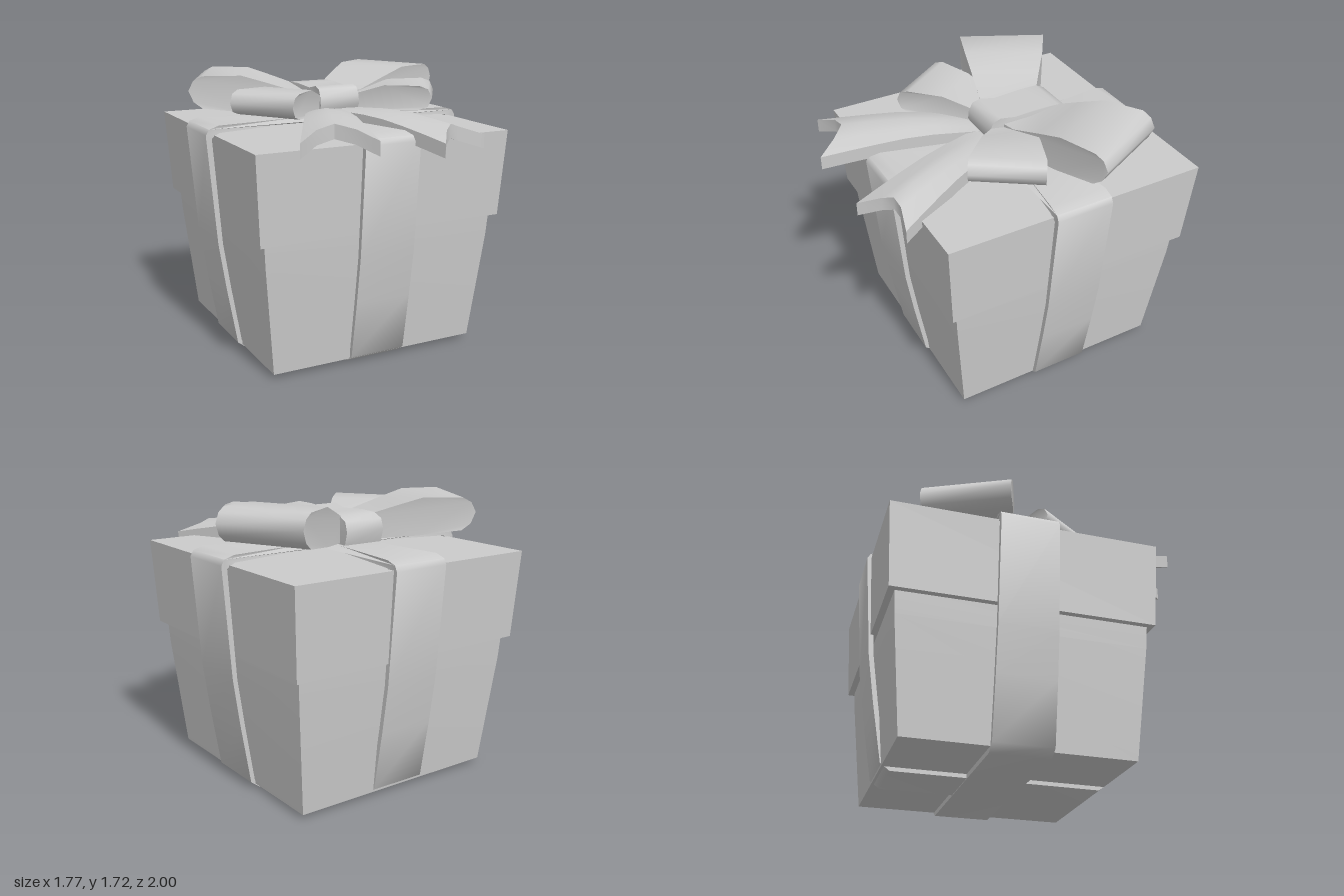
import * as THREE from 'three';
import { toCreasedNormals } from 'three/addons/utils/BufferGeometryUtils.js';

const MID_Z = -0.145; // the box sits slightly behind the bow tails

const makeMaterial = () => new THREE.MeshStandardMaterial({ color: 0xcccccc, side: THREE.DoubleSide });

function addMesh(parent, name, geometry, crease = 0.9) {
  const mesh = new THREE.Mesh(toCreasedNormals(geometry, crease), makeMaterial());
  mesh.name = name;
  parent.add(mesh);
  return mesh;
}

const toShape = (pts) => new THREE.Shape(pts.map(([x, y]) => new THREE.Vector2(x, y)));
const mirrored = (half) => [...half, ...half.slice().reverse().filter((p) => p[0] > 0).map(([x, y]) => [-x, y])];

// Extrudes a side profile across a width that varies along the profile
function ribbonGeometry(shape, halfWidth) {
  const geo = new THREE.ExtrudeGeometry(shape, { depth: 1, bevelEnabled: false });
  const p = geo.attributes.position;
  for (let i = 0; i < p.count; i++) {
    p.setZ(i, (p.getZ(i) * 2 - 1) * halfWidth(p.getX(i), p.getY(i)));
  }
  return geo;
}

// Closed band around the box, narrowing towards the knot on top
function bandGeometry() {
  const outer = mirrored([[0, 0], [0.66, 0], [0.72, 0.045], [0.785, 0.42], [0.83, 0.72],
    [0.885, 1.4], [0.865, 1.435], [0.8, 1.455], [0.3, 1.455], [0, 1.455]]);
  const inner = mirrored([[0, 0.035], [0.66, 0.035], [0.695, 0.06], [0.755, 0.42], [0.8, 0.72],
    [0.848, 1.38], [0.8, 1.41], [0.3, 1.42], [0, 1.42]]);
  const shape = toShape(outer);
  shape.holes.push(toShape(inner));
  return ribbonGeometry(shape, (x, y) => (y < 1.403 ? 0.182
    : THREE.MathUtils.mapLinear(THREE.MathUtils.clamp(Math.abs(x), 0.3, 0.8), 0.3, 0.8, 0.127, 0.182)));
}

// Thick sheet from rows of points [x, y, z]
function sheetGeometry(rows, thickness) {
  const nr = rows.length, nc = rows[0].length, n = nr * nc;
  const flat = rows.flat();
  const pos = [...flat, ...flat.map(([x, y, z]) => [x, y - thickness, z])].flat();
  const idx = [];
  const quad = (a, b, c, d) => idx.push(a, b, c, a, c, d);
  for (let r = 0; r < nr - 1; r++) {
    for (let c = 0; c < nc - 1; c++) {
      const a = r * nc + c;
      quad(a, a + nc, a + nc + 1, a + 1);
      quad(n + a, n + a + 1, n + a + nc + 1, n + a + nc);
    }
  }
  const wall = (a, b) => quad(a, n + a, n + b, b);
  for (let r = 0; r < nr - 1; r++) {
    wall(r * nc, (r + 1) * nc);
    wall((r + 2) * nc - 1, (r + 1) * nc - 1);
  }
  for (let c = 0; c < nc - 1; c++) {
    wall(c + 1, c);
    wall((nr - 1) * nc + c, (nr - 1) * nc + c + 1);
  }
  const geo = new THREE.BufferGeometry();
  geo.setAttribute('position', new THREE.Float32BufferAttribute(pos, 3));
  geo.setIndex(idx);
  return geo;
}

// Bow tail running from the knot to a notched end; points go from -x to +x
function tailGeometry(start, end, yMid, yEnd) {
  const arch = [0, 0.05, 0.075, 0.05, 0];
  const rows = [];
  const steps = 6;
  for (let r = 0; r <= steps; r++) {
    const t = r / steps;
    const y = t < 0.4
      ? THREE.MathUtils.lerp(1.5, yMid, t / 0.4)
      : THREE.MathUtils.lerp(yMid, yEnd, Math.pow((t - 0.4) / 0.6, 1.3));
    rows.push(end.map(([x, z], c) => [
      THREE.MathUtils.lerp(THREE.MathUtils.lerp(start[0], start[1], c / 4), x, t),
      y + arch[c] * t,
      THREE.MathUtils.lerp(0, z, t),
    ]));
  }
  return sheetGeometry(rows, 0.085);
}

export function createModel() {
  const model = new THREE.Group();
  model.name = 'giftBox';

  // Box body and overhanging lid, square in plan
  const squareLathe = (pts) => new THREE.LatheGeometry(
    pts.map(([r, y]) => new THREE.Vector2(r * Math.SQRT2, y)), 4, Math.PI / 4);
  const body = addMesh(model, 'boxBody', squareLathe([[0, 0.03], [0.69, 0.03], [0.757, 0.72], [0.767, 0.88]]), 0.3);
  const lid = addMesh(model, 'lid', squareLathe([[0, 0.86], [0.805, 0.86], [0.835, 1.4], [0, 1.4]]), 0.3);
  body.position.z = lid.position.z = MID_Z;

  // Crossing ribbon bands
  const sideBand = addMesh(model, 'sideRibbon', bandGeometry());
  sideBand.position.z = MID_Z;
  const frontBand = addMesh(model, 'frontRibbon', bandGeometry());
  frontBand.rotation.y = Math.PI / 2;
  frontBand.scale.set(0.982, 0.993, 1);
  frontBand.position.set(0, 0.005, MID_Z + 0.008);

  // Bow loops, mirrored left and right
  const bow = new THREE.Group();
  bow.name = 'bow';
  model.add(bow);
  const loops = [
    {
      name: 'BackLoop', angle: 0.455, z: -0.15,
      profile: [[0, 1.6], [0.15, 1.6], [0.36, 1.67], [0.52, 1.72], [0.76, 1.72], [0.815, 1.69], [0.845, 1.63],
        [0.815, 1.56], [0.76, 1.52], [0.5, 1.49], [0.15, 1.46], [0, 1.46]],
      width: (s) => 0.28 * Math.min(1, 0.5 + 0.77 * s),
    },
    {
      name: 'FrontLoop', angle: -0.593, z: -0.2,
      profile: [[0, 1.58], [0.2, 1.58], [0.42, 1.65], [0.64, 1.655], [0.695, 1.635], [0.72, 1.58],
        [0.695, 1.525], [0.64, 1.505], [0.4, 1.49], [0, 1.46]],
      width: (s) => 0.22 * Math.min(1, 0.32 + 1.05 * s),
    },
  ];
  for (const { name, angle, z, profile, width } of loops) {
    for (const side of ['left', 'right']) {
      const loop = addMesh(bow, side + name, ribbonGeometry(toShape(profile), width));
      loop.rotation.y = side === 'left' ? angle : Math.PI - angle;
      loop.position.z = z;
    }
  }

  // Knot strap over the middle, profile runs front to back
  const knotProfile = [[0.03, 1.47], [0.06, 1.53], [0.055, 1.58], [0.03, 1.63], [-0.02, 1.645], [-0.12, 1.625],
    [-0.3, 1.635], [-0.42, 1.63], [-0.48, 1.6], [-0.5, 1.54], [-0.48, 1.46]];
  const knot = addMesh(bow, 'knot', ribbonGeometry(toShape(knotProfile), (z) => 0.125 + 0.012 * Math.abs(z + 0.2) / 0.3));
  knot.rotation.y = -Math.PI / 2;

  // Notched tails over the front edge of the lid
  addMesh(bow, 'rightTail', tailGeometry([-0.2, 0.01],
    [[-0.65, 0.86], [-0.52, 0.79], [-0.41, 0.785], [-0.32, 0.87], [-0.24, 0.99]], 1.53, 1.475), 0.7);
  addMesh(bow, 'leftTail', tailGeometry([-0.06, 0.18],
    [[0.205, 0.95], [0.29, 0.83], [0.35, 0.78], [0.42, 0.77], [0.57, 0.81]], 1.5, 1.415), 0.7);

  return model;
}
